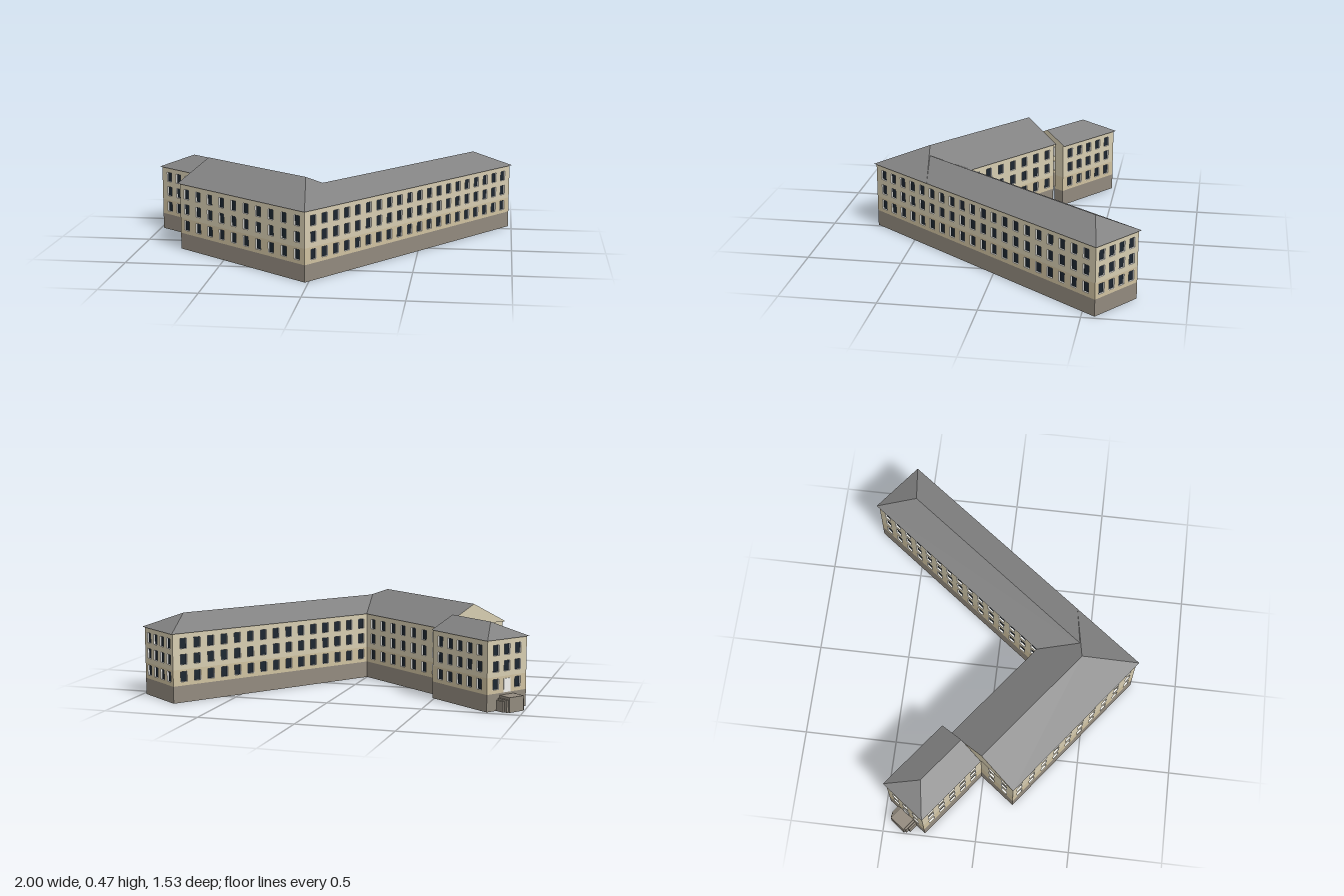
import * as THREE from 'three';
import { mergeGeometries } from 'three/addons/utils/BufferGeometryUtils.js';

const mat = (color, side = THREE.FrontSide) => new THREE.MeshStandardMaterial({ color, side, flatShading: true });
const M = {
  plinth: mat(0x928a7e, THREE.DoubleSide),
  lower: mat(0xcfc1a0, THREE.DoubleSide),
  upper: mat(0xd6ccb0, THREE.DoubleSide),
  roof: mat(0x828282, THREE.DoubleSide),
  frame: mat(0xf2f2ee),
  glass: mat(0x1c2630, THREE.DoubleSide),
};

const EAVE = 0.36, PLINTH = 0.088, COURSE = 0.172;
const ROWS = [0.134, 0.223, 0.306];
const WIN_W = 0.041, WIN_H = 0.056;

function add(parent, name, geometry, material) {
  const mesh = new THREE.Mesh(geometry, material);
  mesh.name = name;
  parent.add(mesh);
  return mesh;
}

function rect(Type, x0, y0, x1, y1) {
  return new Type([[x0, y0], [x1, y0], [x1, y1], [x0, y1]].map(([x, y]) => new THREE.Vector2(x, y)));
}

// Group whose x axis runs from plan point (u, v) at the given angle, z outwards
function place(parent, name, u, v, angle) {
  const g = new THREE.Group();
  g.name = name;
  g.position.set(u, 0, -v);
  g.rotation.y = angle;
  parent.add(g);
  return g;
}

// Wall with plinth, two storey bands and recessed windows; span limits the window area
function wall(parent, name, a, b, cols, { span, door = false } = {}) {
  const du = b[0] - a[0], dv = b[1] - a[1], L = Math.hypot(du, dv);
  const g = place(parent, name, a[0], a[1], Math.atan2(dv, du));
  const [s0, s1] = span || [0.022, L - 0.022];
  const lower = rect(THREE.Shape, 0, PLINTH, L, COURSE);
  const upper = rect(THREE.Shape, 0, COURSE, L, EAVE);
  const frames = [], panes = [];
  for (let i = 0; i < cols; i++) {
    const x = s0 + (s1 - s0) * (i + 0.5) / cols;
    ROWS.forEach((y, r) => {
      if (door && r === 0 && i === (cols - 1) / 2) {
        add(g, 'door', new THREE.BoxGeometry(0.044, 0.07, 0.006), M.frame).position.set(x, PLINTH + 0.036, 0);
        return;
      }
      const box = [x - WIN_W / 2, y - WIN_H / 2, x + WIN_W / 2, y + WIN_H / 2];
      (r === 0 ? lower : upper).holes.push(rect(THREE.Path, ...box));
      const ring = rect(THREE.Shape, ...box), t = 0.0015;
      ring.holes.push(rect(THREE.Path, box[0] + t, box[1] + t, box[2] - t, box[3] - t));
      frames.push(new THREE.ExtrudeGeometry(ring, { depth: 0.012, bevelEnabled: false }).translate(0, 0, -0.012));
      panes.push(new THREE.PlaneGeometry(WIN_W, WIN_H).translate(x, y, -0.009));
    });
  }
  add(g, 'plinth', new THREE.ShapeGeometry(rect(THREE.Shape, 0, 0, L, PLINTH)), M.plinth);
  add(g, 'groundFloorWall', new THREE.ShapeGeometry(lower), M.lower);
  add(g, 'upperWall', new THREE.ShapeGeometry(upper), M.upper);
  if (frames.length) {
    add(g, 'windowFrames', mergeGeometries(frames), M.frame);
    add(g, 'windowPanes', mergeGeometries(panes), M.glass);
  }
}

function faces(...points) {
  const geo = new THREE.BufferGeometry();
  geo.setAttribute('position', new THREE.Float32BufferAttribute(points.flat(), 3));
  geo.computeVertexNormals();
  return geo;
}

// Ridge roof; a hip length of 0 gives a gable at that end
function roof(parent, name, u, v, angle, L, W, top, hip0, hip1) {
  const g = place(parent, name, u, v, angle);
  const a = [0, EAVE, 0], b = [L, EAVE, 0], c = [L, EAVE, -W], d = [0, EAVE, -W];
  const r0 = [hip0, top, -W / 2], r1 = [L - hip1, top, -W / 2];
  const slopes = [a, b, r1, a, r1, r0, c, d, r0, c, r0, r1];
  const gables = [];
  (hip0 ? slopes : gables).push(d, a, r0);
  (hip1 ? slopes : gables).push(b, c, r1);
  add(g, 'roofSlopes', faces(...slopes), M.roof);
  if (gables.length) add(g, 'gable', faces(...gables), M.upper);
  add(g, 'ceiling', faces(a, d, c, a, c, b), M.lower);
}

export function createModel() {
  const model = new THREE.Group();
  model.name = 'building';

  // Plan axes: u along the long wing, v along the short wing, from the outer corner
  const plan = new THREE.Group();
  plan.name = 'plan';
  plan.rotation.y = 0.921;
  plan.position.set(-0.016, 0, 0.765);
  model.add(plan);

  // Long wing
  wall(plan, 'longWingOuterWall', [0.01, 0.01], [1.662, 0.01], 20);
  wall(plan, 'longWingEndWall', [1.662, 0.01], [1.662, 0.312], 4, { span: [0.01, 0.292] });
  wall(plan, 'longWingCourtWall', [1.662, 0.312], [0.438, 0.312], 15, { span: [0.022, 1.222] });
  roof(plan, 'longWingRoof', 0, 0, 0, 1.672, 0.322, 0.44, 0.224, 0.158);

  // Short wing
  wall(plan, 'shortWingCourtWall', [0.438, 0.312], [0.438, 0.963], 7, { span: [0.01, 0.645] });
  wall(plan, 'shortWingEndWall', [0.438, 0.963], [0.01, 0.963], 2, { span: [0.225, 0.41] });
  wall(plan, 'shortWingOuterWall', [0.01, 0.963], [0.01, 0.01], 10, { span: [0.005, 0.945] });
  roof(plan, 'shortWingRoof', 0.448, 0, Math.PI / 2, 0.973, 0.448, 0.472, 0.217, 0);

  // Annex
  wall(plan, 'annexReturnWall', [0.438, 0.975], [0.502, 0.975], 0);
  wall(plan, 'annexCourtWall', [0.502, 0.975], [0.502, 1.401], 5);
  wall(plan, 'annexEndWall', [0.502, 1.401], [0.241, 1.401], 3, { door: true });
  wall(plan, 'annexOuterWall', [0.241, 1.401], [0.241, 0.963], 5);
  roof(plan, 'annexRoof', 0.512, 0.975, Math.PI / 2, 0.436, 0.281, 0.428, 0, 0.138);

  // Entrance steps: a landing with lower, wider flanks
  const steps = place(plan, 'entranceSteps', 0.371, 1.401, 0);
  [[0.094, 0.077, 0.075], [0.135, 0.055, 0.05], [0.115, 0.064, 0.066]].forEach(([w, h, depth]) => {
    add(steps, 'step', new THREE.BoxGeometry(w, h, depth), M.plinth).position.set(0, h / 2, -depth / 2);
  });
  return model;
}
